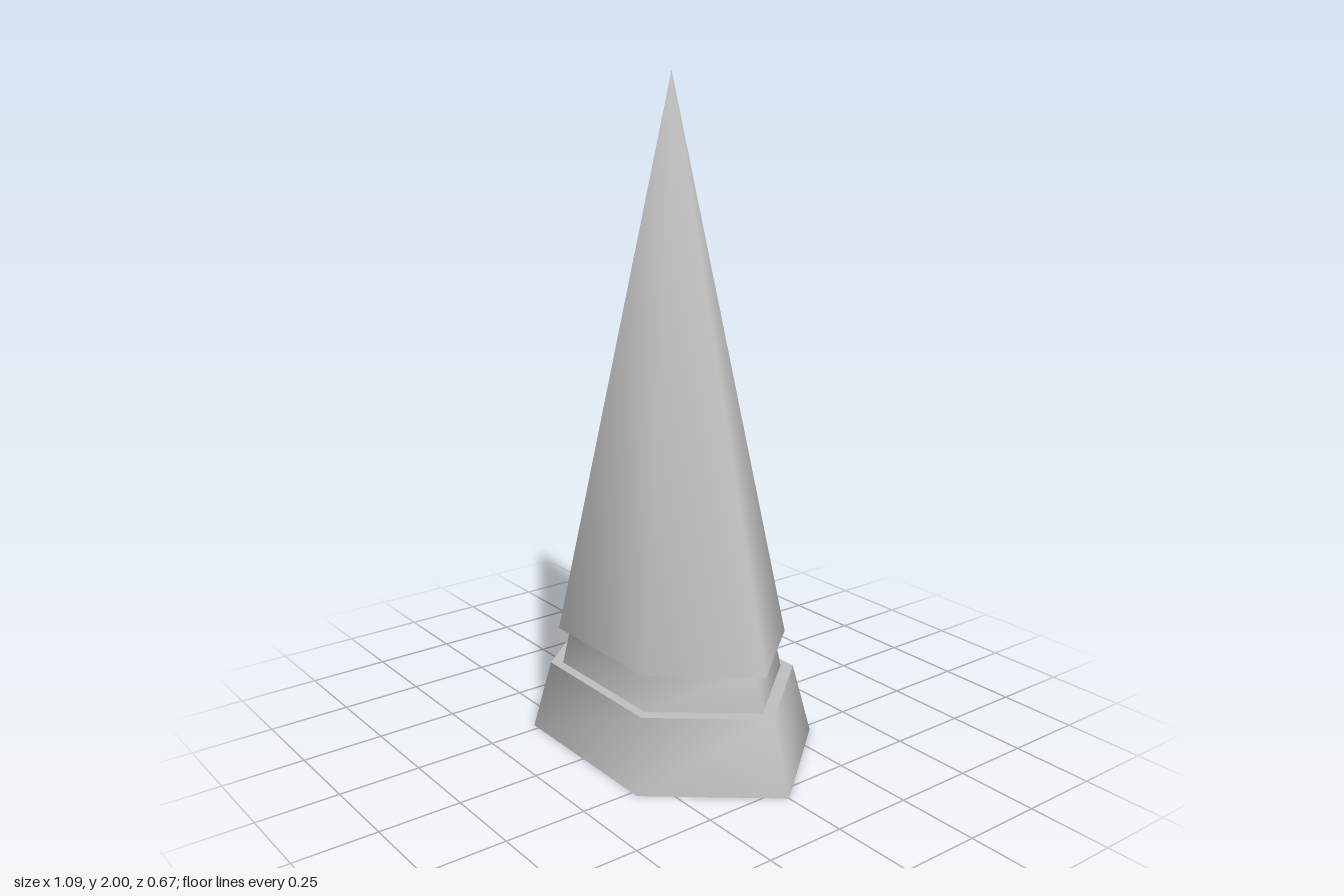
import * as THREE from 'three';
import { mergeVertices } from 'three/addons/utils/BufferGeometryUtils.js';

const SIDES = 6;
const DEPTH = 0.705; // the hexagon is squashed front to back

const stone = new THREE.MeshStandardMaterial({ color: 0xc0c0c0, side: THREE.DoubleSide });
stone.name = 'plain grey';

function addPart(group, name, geometry) {
  const mesh = new THREE.Mesh(geometry, stone);
  mesh.name = name;
  group.add(mesh);
}

// Open hexagonal wall with welded corners, shaded smoothly around its sides
function wall(topRadius, bottomRadius, y0, y1) {
  let g = new THREE.CylinderGeometry(topRadius, bottomRadius, y1 - y0, SIDES, 1, true, Math.PI / 2);
  g.deleteAttribute('normal');
  g.deleteAttribute('uv');
  g = mergeVertices(g, 1e-4);
  g.scale(1, 1, DEPTH);
  g.translate(0, (y0 + y1) / 2, 0);
  g.computeVertexNormals();
  return g;
}

// Flat hexagonal plate, facing up or down
function plate(radius, y, facing) {
  const g = new THREE.CircleGeometry(radius, SIDES);
  g.rotateX(-facing * Math.PI / 2);
  g.scale(1, 1, DEPTH);
  g.translate(0, y, 0);
  return g;
}

export function createModel() {
  const model = new THREE.Group();
  model.name = 'hexagonalSpire';

  // Flared base, open underneath, with a flat top
  addPart(model, 'baseWall', wall(0.475, 0.547, 0, 0.215));
  addPart(model, 'baseTop', plate(0.475, 0.215, 1));

  // Recessed neck
  addPart(model, 'neck', wall(0.396, 0.427, 0.215, 0.33));

  // Pointed spire with an overhanging underside
  addPart(model, 'spire', wall(0, 0.44, 0.33, 2));
  addPart(model, 'spireUnderside', plate(0.44, 0.33, -1));

  return model;
}
